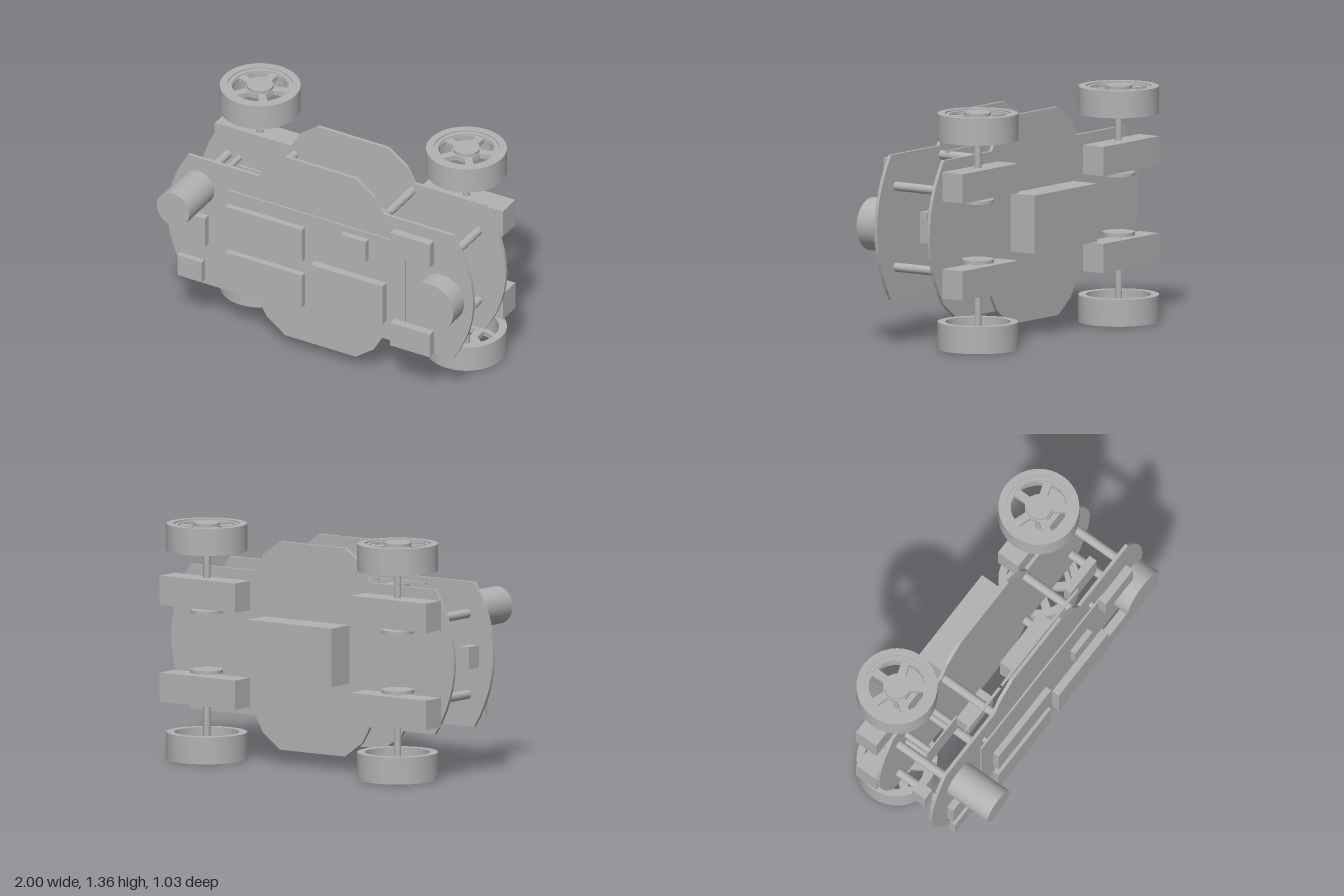
import * as THREE from 'three';
import { toCreasedNormals } from 'three/addons/utils/BufferGeometryUtils.js';

const grey = new THREE.MeshStandardMaterial({ color: 0xb2b2b2 });
grey.name = 'plain grey';
const MID = 0.68; // height of the chassis centre line

function add(parent, name, geometry, x = 0, y = 0, z = 0) {
  const mesh = new THREE.Mesh(geometry, grey);
  mesh.name = name;
  mesh.position.set(x, y, z);
  parent.add(mesh);
  return mesh;
}

// Box given by its limits on each axis
function block(parent, name, x0, x1, y0, y1, z0, z1) {
  return add(parent, name, new THREE.BoxGeometry(x1 - x0, y1 - y0, z1 - z0),
    (x0 + x1) / 2, (y0 + y1) / 2, (z0 + z1) / 2);
}

// Cylinder running along z
function rod(parent, name, x, y, z0, z1, r, sides = 20) {
  const g = new THREE.CylinderGeometry(r, r, z1 - z0, sides).rotateX(Math.PI / 2);
  return add(parent, name, g, x, y, (z0 + z1) / 2);
}

// Chassis deck with a hump on each long side and bowed ends
function deckGeometry() {
  const s = new THREE.Shape();
  const hump = [[0.865, 0.415], [0.405, 0.415], [0.35, 0.51], [0.23, 0.597],
    [-0.23, 0.597], [-0.35, 0.51], [-0.405, 0.415], [-0.865, 0.415]];
  s.moveTo(...hump[0]);
  hump.slice(1).forEach(p => s.lineTo(...p));
  s.quadraticCurveTo(-1.135, 0, -0.865, -0.415);
  hump.slice(0, -1).reverse().forEach(([x, y]) => s.lineTo(x, -y));
  s.quadraticCurveTo(1.135, 0, 0.865, 0.415);
  return new THREE.ExtrudeGeometry(s, { depth: 0.02, bevelEnabled: false, curveSegments: 12 });
}

// Wheel with its outer face toward +y
function makeWheel() {
  const wheel = new THREE.Group();
  wheel.name = 'wheel';
  const profile = [[0.185, 0], [0.23, 0], [0.23, 0.155], [0.187, 0.155], [0.187, 0.147],
    [0.163, 0.147], [0.163, 0.11], [0.185, 0.11], [0.185, 0]].map(p => new THREE.Vector2(...p));
  add(wheel, 'tyre', toCreasedNormals(new THREE.LatheGeometry(profile, 40), 0.6));
  // Spoked disc: five tapered windows
  const disc = new THREE.Shape().absarc(0, 0, 0.166, 0, Math.PI * 2);
  for (let i = 0; i < 5; i++) {
    const a = -Math.PI / 2 + i * Math.PI * 0.4;
    const at = (r, d) => new THREE.Vector2(r * Math.cos(a + d), r * Math.sin(a + d));
    disc.holes.push(new THREE.Path([at(0.085, -0.36), at(0.155, -0.47), at(0.16, -0.16),
      at(0.16, 0.16), at(0.155, 0.47), at(0.085, 0.36)]));
  }
  const g = new THREE.ExtrudeGeometry(disc, { depth: 0.03, bevelEnabled: false, curveSegments: 20 });
  add(wheel, 'spokes', g.rotateX(-Math.PI / 2), 0, 0.11, 0);
  add(wheel, 'hub', new THREE.CylinderGeometry(0.075, 0.075, 0.05, 32), 0, 0.135, 0);
  return wheel;
}

export function createModel() {
  const model = new THREE.Group();
  model.name = 'wheeledRobot';

  // Two decks and the pillars between them
  const deck = deckGeometry();
  add(model, 'frontDeck', deck, 0, MID, 0.185);
  add(model, 'backDeck', deck, 0, MID, -0.186);
  for (const sx of [-1, 1]) for (const sy of [-1, 1]) {
    rod(model, 'pillar', sx * 0.82, MID + sy * 0.232, -0.17, 0.19, 0.026);
    rod(model, 'pillar', sx * 0.385, MID + sy * 0.362, -0.17, 0.19, 0.026);
    rod(model, 'boardPost', sx * 0.507, MID + sy * 0.237, 0.2, 0.235, 0.018);
  }

  // Drive units at the four corners
  for (const sx of [-1, 1]) for (const sy of [-1, 1]) {
    const drive = new THREE.Group();
    drive.name = 'driveUnit';
    drive.position.set(sx * 0.675, MID, -0.285);
    if (sy < 0) drive.rotation.z = Math.PI;
    block(drive, 'motor', -0.268, 0.268, 0.194, 0.362, -0.09, 0.053);
    add(drive, 'axle', new THREE.CylinderGeometry(0.02, 0.02, 0.48, 20), 0, 0.4, 0);
    add(drive, 'encoderDisc', new THREE.CylinderGeometry(0.092, 0.092, 0.02, 32), 0, 0.171, 0);
    const wheel = makeWheel();
    wheel.position.y = 0.52;
    drive.add(wheel);
    model.add(drive);
  }
  block(model, 'battery', -0.3, 0.3, 0.514, 0.848, -0.408, -0.24);

  // Main board and its modules on the front deck
  block(model, 'mainBoard', -0.58, 0.575, 0.37, 0.965, 0.232, 0.243);
  const modules = [
    [-0.545, -0.045, 0.706, 0.918, 0.3, 0.337], [-0.545, -0.045, 0.398, 0.612, 0.3, 0.337],
    [0.015, 0.487, 0.457, 0.711, 0.3, 0.347], [0.2, 0.365, 0.824, 0.96, 0.29, 0.325],
    [0.515, 0.775, 0.907, 1.06, 0.257, 0.307], [0.515, 0.775, 0.305, 0.457, 0.257, 0.307],
    [-0.915, -0.705, 0.572, 0.762, 0.25, 0.292], [-0.89, -0.73, 0.324, 0.457, 0.25, 0.285],
  ];
  modules.forEach(m => block(model, 'frontModule', ...m));
  rod(model, 'sensorTower', -0.785, 0.92, 0.231, 0.516, 0.107, 32);
  rod(model, 'scanner', 0.807, 0.682, 0.236, 0.36, 0.152, 40);

  // Parts held between the decks
  block(model, 'innerModule', -0.425, -0.2, 0.55, 0.66, -0.05, 0.042);
  block(model, 'innerModule', -0.01, 0.365, 0.477, 0.668, -0.05, 0.045);
  block(model, 'innerModule', 0.535, 0.78, 0.593, 0.772, -0.005, 0.045);
  block(model, 'endSensor', -0.95, -0.88, 0.62, 0.747, 0.025, 0.118);
  block(model, 'smallBoard', -0.78, -0.5, 0.75, 0.948, 0, 0.01);
  for (const x of [-0.745, -0.54]) for (const y of [0.79, 0.91])
    rod(model, 'smallBoardPost', x, y, -0.17, 0.002, 0.019);

  // Slim light strips along the sides
  for (let i = -1; i <= 1; i++) {
    for (const y of [0.297, 1.066])
      block(model, 'lightStrip', i * 0.338 - 0.233, i * 0.338 + 0.078, y - 0.007, y + 0.007, 0.119, 0.134);
    for (const y of [0.45, 0.912])
      block(model, 'wiringStrip', i * 0.37 - 0.165, i * 0.37 + 0.165, y - 0.006, y + 0.006, 0.088, 0.101);
  }
  block(model, 'centreStrip', -0.233, 0.078, 0.577, 0.59, 0.119, 0.134);
  return model;
}
